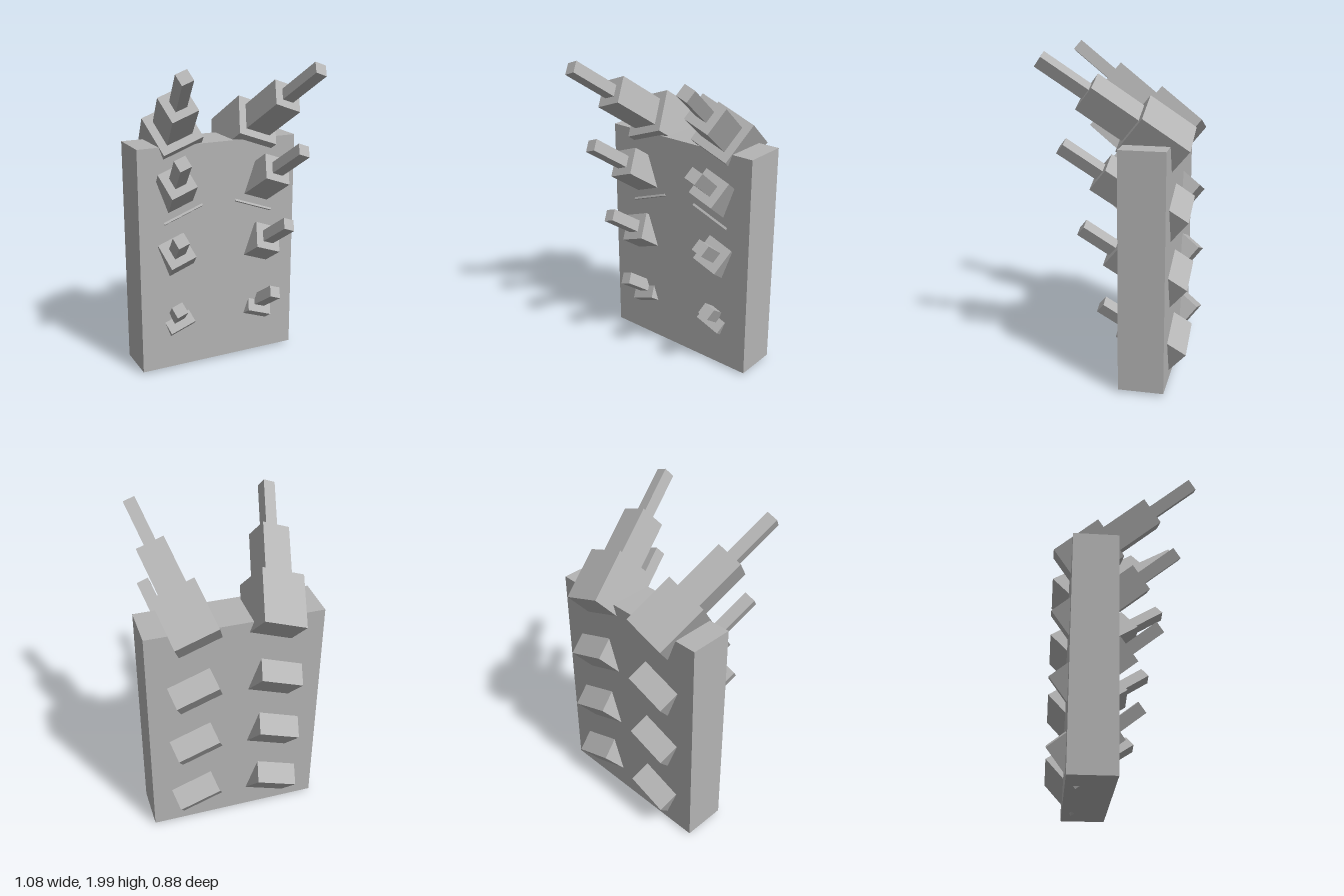
import * as THREE from 'three';

const ROWS = 4;
const ROW_DROP = 0.4155; // vertical spacing between spikes
const OVERLAP = 0.01;    // each section sinks slightly into the previous one
const SECTIONS = [
  ['spikeBase', 0.275],
  ['spikeMiddle', 0.175],
  ['spikeTip', 0.075],
];

export function createModel() {
  const model = new THREE.Group();
  model.name = 'spikedSlab';

  const grey = new THREE.MeshStandardMaterial({ color: 0xb4b4b4 });
  grey.name = 'plain grey';
  grey.flatShading = true;

  // Upright slab
  const slab = new THREE.Mesh(new THREE.BoxGeometry(1.076, 1.463, 0.275), grey);
  slab.name = 'slab';
  slab.position.set(0, 0.7485, -0.1925);
  model.add(slab);

  // Stepped spike of three square sections, running along its own +z
  function makeSpike(length) {
    const spike = new THREE.Group();
    SECTIONS.forEach(([name, width], i) => {
      const section = new THREE.Mesh(new THREE.BoxGeometry(width, width, length), grey);
      section.name = name;
      section.position.z = length / 2 + i * (length - OVERLAP);
      spike.add(section);
    });
    return spike;
  }

  // Two mirrored columns of spikes, shorter towards the bottom
  for (const side of [1, -1]) {
    for (let row = 0; row < ROWS; row++) {
      const spike = makeSpike(0.33 - 0.0453 * row);
      spike.name = (side > 0 ? 'leftSpike' : 'rightSpike') + (row + 1);
      spike.position.set(side * 0.221, 1.397 - ROW_DROP * row, -0.356);
      spike.rotation.set(
        THREE.MathUtils.degToRad(-37.5), 0, THREE.MathUtils.degToRad(-20 * side), 'ZYX');
      model.add(spike);
    }
  }
  return model;
}
